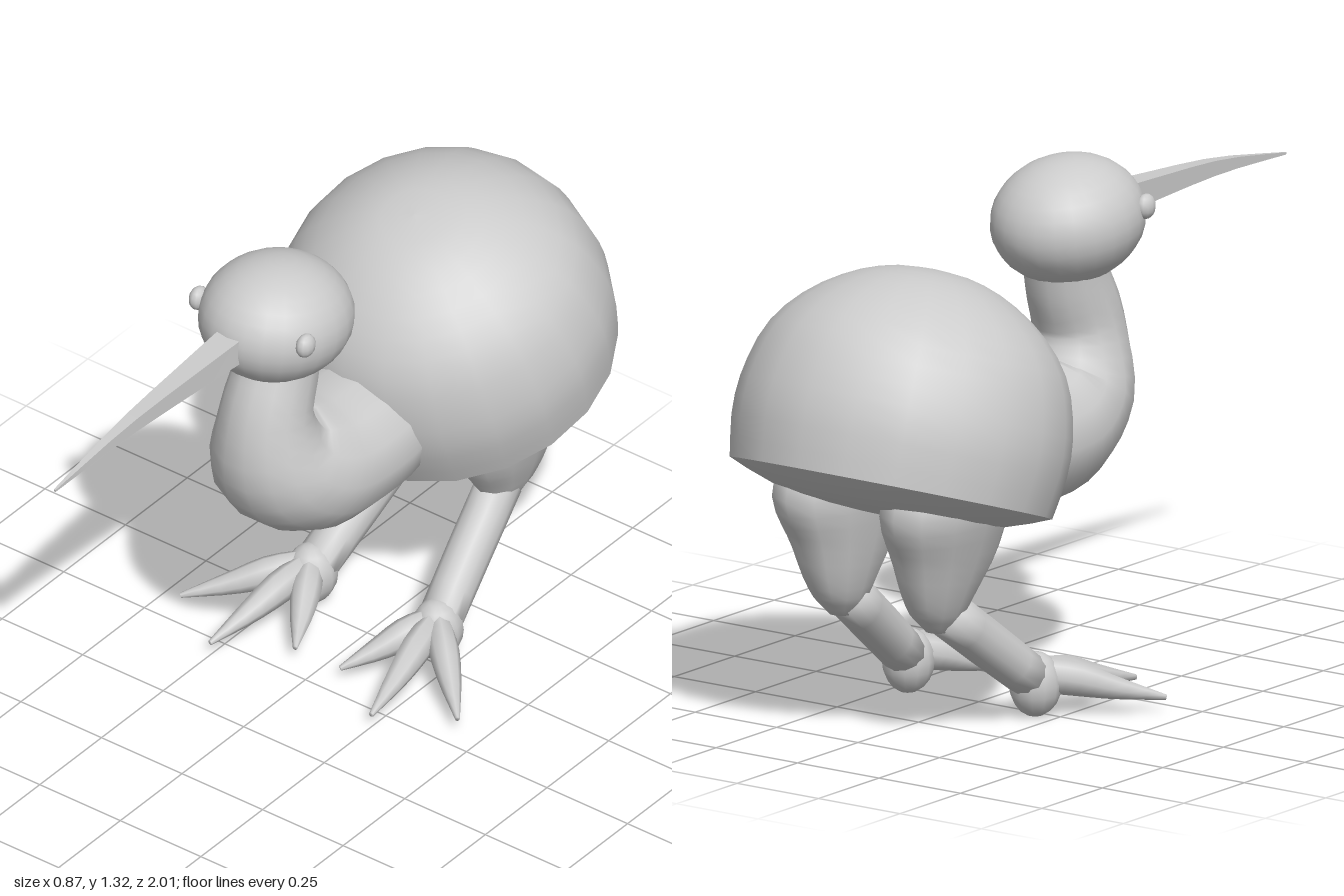
import * as THREE from 'three';

const grey = new THREE.MeshStandardMaterial({ color: 0xcccccc });
const greyFlat = new THREE.MeshStandardMaterial({ color: 0xcccccc, flatShading: true });
const V = (x, y, z) => new THREE.Vector3(x, y, z);
const MID = -0.012; // centre line of the trunk

function part(name, geometry, material = grey) {
  const mesh = new THREE.Mesh(geometry, material);
  mesh.name = name;
  return mesh;
}

// Skin through sections [x, y, z, half width along side, half depth], smoothed along the path.
function loft(sections, side, sides, steps, phase = 0) {
  const path = new THREE.CatmullRomCurve3(sections.map(s => V(s[0], s[1], s[2])));
  const radii = new THREE.CatmullRomCurve3(sections.map(s => V(s[3], s[4], 0)));
  const pos = [], index = [];
  for (let i = 0; i <= steps; i++) {
    const t = i / steps;
    const c = path.getPoint(t), r = radii.getPoint(t);
    const up = path.getTangent(t).cross(side).normalize();
    for (let j = 0; j < sides; j++) {
      const a = phase + (j / sides) * Math.PI * 2;
      const p = c.clone().addScaledVector(side, r.x * Math.cos(a)).addScaledVector(up, r.y * Math.sin(a));
      pos.push(p.x, p.y, p.z);
      if (i < steps) {
        const k = (j + 1) % sides, n = i * sides;
        index.push(n + j, n + k, n + sides + j, n + k, n + sides + k, n + sides + j);
      }
    }
  }
  // End caps
  const last = steps * sides;
  for (let j = 1; j < sides - 1; j++) index.push(0, j + 1, j, last, last + j, last + j + 1);
  const g = new THREE.BufferGeometry();
  g.setAttribute('position', new THREE.Float32BufferAttribute(pos, 3));
  g.setIndex(index);
  g.computeVertexNormals();
  return g;
}

function lathe(points, steps) {
  const curve = new THREE.SplineCurve(points.map(p => new THREE.Vector2(...p)));
  const profile = curve.getPoints(steps);
  profile.forEach(p => { p.x = Math.max(p.x, 0); });
  return new THREE.LatheGeometry(profile, 20);
}

function makeBody() {
  const body = new THREE.Group();
  body.name = 'body';
  // Domed back and shallow belly meet at a sharp rim
  body.add(part('back', lathe([[0.405, 0], [0.422, 0.12], [0.413, 0.23], [0.375, 0.345],
    [0.3, 0.437], [0.2, 0.505], [0.1, 0.541], [0, 0.55]], 16)));
  body.add(part('belly', lathe([[0, -0.07], [0.15, -0.064], [0.29, -0.043], [0.405, 0]], 6)));
  body.position.set(MID, 0.625, -0.63);
  body.rotation.x = 0.326;
  return body;
}

function makeHead() {
  const head = new THREE.Group();
  head.name = 'head';
  const skull = part('skull', new THREE.SphereGeometry(1, 24, 16));
  skull.scale.set(0.187, 0.157, 0.207);
  skull.rotation.x = -0.15;
  skull.position.set(0, 1.16, 0.102);
  head.add(skull);
  // Four-sided tapering bill, curving down to the tip
  head.add(part('bill', loft([[0, 1.17, 0.25, 0.052, 0.052], [0, 1.17, 0.45, 0.039, 0.04],
    [0, 1.165, 0.72, 0.022, 0.025], [0, 1.138, 1, 0.004, 0.004]], V(1, 0, 0), 4, 8, Math.PI / 4), greyFlat));
  for (const s of [1, -1]) {
    const eye = part(s > 0 ? 'leftEye' : 'rightEye', new THREE.SphereGeometry(1, 12, 8));
    eye.scale.set(0.022, 0.032, 0.03);
    eye.position.set(s * 0.166, 1.195, 0.2);
    head.add(eye);
  }
  head.position.x = MID;
  return head;
}

function makeLeg(s) {
  const leg = new THREE.Group();
  leg.name = s > 0 ? 'leftLeg' : 'rightLeg';
  const X = V(1, 0, 0);
  leg.add(part('thigh', loft([[s * 0.148, 0.278, -0.625, 0.025, 0.03], [s * 0.148, 0.32, -0.62, 0.055, 0.085],
    [s * 0.152, 0.4, -0.615, 0.084, 0.135], [s * 0.158, 0.5, -0.605, 0.11, 0.187],
    [s * 0.165, 0.61, -0.605, 0.13, 0.222], [s * 0.165, 0.72, -0.605, 0.1, 0.16]], X, 12, 14)));
  leg.add(part('shank', loft([[s * 0.147, 0.33, -0.6, 0.057, 0.062], [s * 0.17, 0.21, -0.44, 0.057, 0.06],
    [s * 0.195, 0.09, -0.28, 0.057, 0.055]], X, 12, 4)));
  const ankle = part('ankle', new THREE.SphereGeometry(1, 12, 10));
  ankle.scale.set(0.065, 0.082, 0.068);
  ankle.position.set(s * 0.195, 0.082, -0.28);
  leg.add(ankle);
  // Toes fan out from the ankle: [tip x, tip z]
  const toes = { innerToe: [0.07, -0.05], middleToe: [0.25, 0.06], outerToe: [0.43, -0.055] };
  for (const [name, [tx, tz]] of Object.entries(toes)) {
    const at = (t, y, w, h) => [s * (0.195 + (tx - 0.195) * t), y, -0.28 + (tz + 0.28) * t, w, h];
    const side = V(tz + 0.28, 0, -s * (tx - 0.195)).normalize();
    leg.add(part(name, loft([at(0, 0.105, 0.03, 0.045), at(0.3, 0.092, 0.038, 0.044),
      at(0.6, 0.066, 0.03, 0.03), at(1, 0.037, 0.006, 0.007)], side, 8, 8)));
  }
  return leg;
}

export function createModel() {
  const bird = new THREE.Group();
  bird.name = 'bird';
  bird.add(makeBody());
  // S-shaped neck swelling into the chest
  bird.add(part('neck', loft([[MID, 0.67, -0.36, 0.18, 0.155], [MID, 0.648, -0.17, 0.2, 0.176],
    [MID, 0.662, 0, 0.195, 0.175], [MID, 0.74, 0.118, 0.165, 0.155], [MID, 0.88, 0.143, 0.118, 0.122],
    [MID, 1.0, 0.1, 0.104, 0.113], [MID, 1.09, 0.07, 0.1, 0.1]], V(1, 0, 0), 14, 22)));
  bird.add(makeHead());
  bird.add(makeLeg(1), makeLeg(-1));
  return bird;
}
